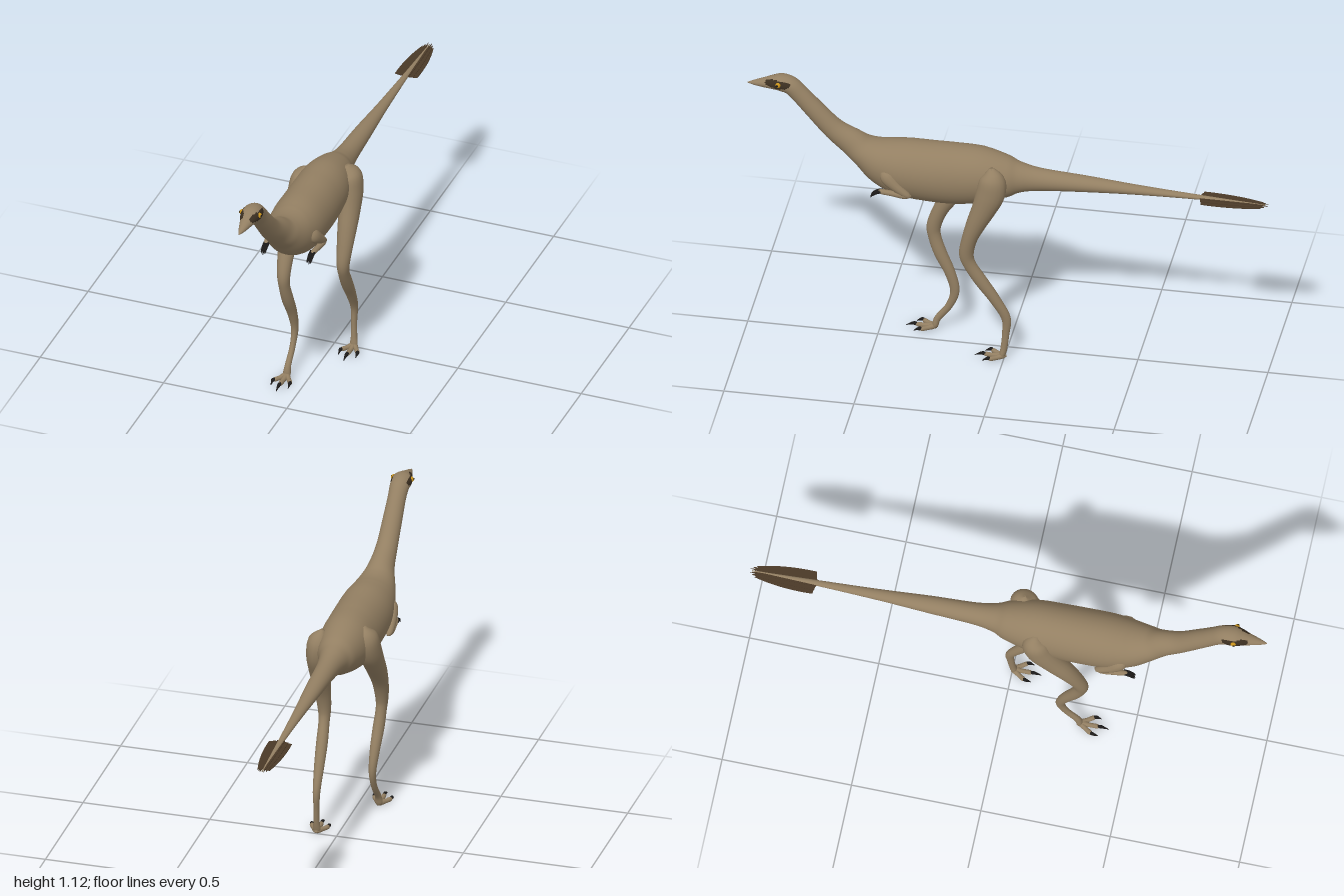
import * as THREE from 'three';

const mat = (name, color) => {
  const m = new THREE.MeshStandardMaterial({ color });
  m.name = name;
  return m;
};

// Smooth closed skin through elliptical sections [x, y, z, halfWidth, halfHeight].
// Faces chosen by paint(centre) go to a second material group.
function loft(sections, steps, sides, paint = () => false) {
  const path = new THREE.CatmullRomCurve3(sections.map(s => new THREE.Vector3(s[0], s[1], s[2])), false, 'catmullrom', 0.5);
  const size = new THREE.CatmullRomCurve3(sections.map(s => new THREE.Vector3(s[3], s[4], 0)), false, 'catmullrom', 0.5);
  const pts = [], plain = [], painted = [];
  const side = new THREE.Vector3(), up = new THREE.Vector3();
  for (let i = 0; i <= steps; i++) {
    const p = path.getPoint(i / steps), t = path.getTangent(i / steps), r = size.getPoint(i / steps);
    side.set(1, 0, 0).addScaledVector(t, -t.x).normalize();
    up.crossVectors(t, side);
    for (let j = 0; j < sides; j++) {
      const a = (j / sides) * Math.PI * 2;
      pts.push(p.clone()
        .addScaledVector(side, Math.cos(a) * Math.max(r.x, 0.0008))
        .addScaledVector(up, Math.sin(a) * Math.max(r.y, 0.0008)));
    }
  }
  const centre = new THREE.Vector3();
  for (let i = 0; i < steps; i++) {
    for (let j = 0; j < sides; j++) {
      const a = i * sides + j, b = i * sides + (j + 1) % sides, c = a + sides, d = b + sides;
      centre.copy(pts[a]).add(pts[d]).multiplyScalar(0.5);
      (paint(centre) ? painted : plain).push(a, b, c, b, d, c);
    }
  }
  // end caps
  const last = steps * sides;
  for (let j = 1; j < sides - 1; j++) plain.push(0, j + 1, j, last, last + j, last + j + 1);
  const g = new THREE.BufferGeometry().setFromPoints(pts);
  g.setIndex([...plain, ...painted]);
  g.addGroup(0, plain.length, 0);
  if (painted.length) g.addGroup(plain.length, painted.length, 1);
  g.computeVertexNormals();
  return g;
}

export function createModel() {
  const skin = mat('skin', 0x937f62);
  const feather = mat('darkFeather', 0x4a3927);
  const claw = mat('claw', 0x1c1a19);
  const eyeColour = mat('eyeAmber', 0xc8921c);
  const mask = mat('eyePatch', 0x3a2e20);

  const model = new THREE.Group();
  model.name = 'longNeckedDinosaur';
  const add = (name, geometry, material, parent = model) => {
    const m = new THREE.Mesh(geometry, material);
    m.name = name;
    parent.add(m);
    return m;
  };

  // Tail, trunk, neck and head as one skin: z, y, half height, half width
  const spine = [
    [-0.99, 0.75, 0.002, 0.002], [-0.75, 0.757, 0.008, 0.011], [-0.5, 0.763, 0.018, 0.022],
    [-0.3, 0.767, 0.031, 0.034], [-0.13, 0.767, 0.044, 0.042], [-0.05, 0.768, 0.06, 0.055],
    [0, 0.767, 0.083, 0.075], [0.1, 0.765, 0.112, 0.097], [0.2, 0.758, 0.122, 0.103],
    [0.3, 0.758, 0.121, 0.105], [0.4, 0.765, 0.115, 0.103], [0.48, 0.785, 0.094, 0.09],
    [0.55, 0.82, 0.062, 0.068], [0.6, 0.855, 0.053, 0.05], [0.67, 0.905, 0.042, 0.041],
    [0.75, 0.99, 0.037, 0.037], [0.8, 1.045, 0.035, 0.035], [0.835, 1.078, 0.034, 0.037],
    [0.87, 1.088, 0.032, 0.04], [0.9, 1.086, 0.026, 0.034], [0.93, 1.081, 0.02, 0.024],
    [0.97, 1.076, 0.011, 0.013], [1, 1.073, 0.002, 0.002],
  ];
  const aroundEye = p => Math.abs(p.x) > 0.012 &&
    ((p.z - 0.88) / 0.05) ** 2 + ((p.y - 1.094) / 0.015) ** 2 < 1;
  add('body', loft(spine.map(([z, y, h, w]) => [0, y, z, w, h]), 176, 36, aroundEye), [skin, mask]);

  // Tail fan: overlapping flat vanes on each side of the tail
  const fan = new THREE.Group();
  fan.name = 'tailFan';
  model.add(fan);
  for (const s of [1, -1]) {
    for (let k = 0; k < 3; k++) {
      const w = 0.015 * (k + 1), tip = 0.26 - 0.012 * k;
      const vane = new THREE.Shape();
      vane.moveTo(0, 0);
      vane.lineTo(s * w, 0.004 * k);
      vane.quadraticCurveTo(s * w * 1.1, 0.13, s * w * 0.5, tip);
      vane.lineTo(s * 0.003, tip - 0.03);
      const g = new THREE.ExtrudeGeometry(vane, { depth: 0.003, bevelEnabled: false, curveSegments: 8 });
      const m = add('tailFeather', g, feather, fan);
      m.rotation.x = -Math.PI / 2 - 0.03;
      m.position.set(0, 0.757 - 0.002 * k, -0.74);
    }
  }

  // Legs in mid stride: x, y, half width, half depth, then z for each leg
  const legProfile = [
    [0.07, 0.84, 0.008, 0.01, 0.05, 0.12], [0.08, 0.8, 0.042, 0.048, 0.045, 0.12],
    [0.088, 0.74, 0.044, 0.056, 0.05, 0.14], [0.091, 0.67, 0.041, 0.047, 0.075, 0.185],
    [0.092, 0.6, 0.037, 0.038, 0.105, 0.235], [0.092, 0.53, 0.031, 0.03, 0.13, 0.275],
    [0.09, 0.46, 0.025, 0.028, 0.143, 0.3], [0.088, 0.41, 0.021, 0.025, 0.13, 0.298],
    [0.084, 0.34, 0.022, 0.025, 0.088, 0.275], [0.08, 0.26, 0.019, 0.021, 0.035, 0.238],
    [0.077, 0.18, 0.014, 0.018, -0.007, 0.218], [0.077, 0.11, 0.011, 0.014, -0.006, 0.24],
    [0.079, 0.05, 0.012, 0.013, 0, 0.283], [0.08, 0.018, 0.015, 0.012, 0.006, 0.293],
    [0.08, 0.005, 0.009, 0.008, 0.008, 0.295],
  ];
  for (const s of [1, -1]) {
    const name = s > 0 ? 'left' : 'right';
    const leg = new THREE.Group();
    leg.name = name + 'Leg';
    model.add(leg);
    add(name + 'Limb', loft(legProfile.map(p => [s * p[0], p[1], s > 0 ? p[4] : p[5], p[2], p[3]]), 70, 18), skin, leg);

    // Three spread toes with claws
    const z0 = s > 0 ? 0 : 0.293, x0 = s * 0.08;
    for (const spread of [-1, 0, 1]) {
      const reach = spread ? 0.052 : 0.075;
      const at = f => [x0 + spread * 0.034 * Math.min(f, 1.02), z0 + reach * f];
      const ring = (f, y, r) => [at(f)[0], y, at(f)[1], r, r];
      add('toe', loft([ring(-0.12, 0.011, 0.004), ring(0.1, 0.012, 0.011), ring(0.55, 0.01, 0.009),
        ring(0.9, 0.011, 0.009), ring(1.05, 0.01, 0.004)], 14, 10), skin, leg);
      add('toeClaw', loft([ring(0.92, 0.013, 0.006), ring(1.1, 0.014, 0.007),
        ring(1.3, 0.01, 0.004), ring(1.5, 0.003, 0.001)], 8, 8), claw, leg);
    }

    // Small folded arm held against the chest
    const arm = new THREE.Group();
    arm.name = name + 'Arm';
    model.add(arm);
    add('upperArm', loft([[s * 0.078, 0.79, 0.47, 0.008, 0.008], [s * 0.09, 0.765, 0.45, 0.019, 0.026],
      [s * 0.097, 0.73, 0.41, 0.018, 0.02], [s * 0.098, 0.7, 0.37, 0.014, 0.013],
      [s * 0.095, 0.693, 0.355, 0.004, 0.004]], 20, 12), skin, arm);
    add('forearm', loft([[s * 0.096, 0.695, 0.355, 0.005, 0.005], [s * 0.1, 0.698, 0.38, 0.013, 0.013],
      [s * 0.1, 0.703, 0.43, 0.011, 0.011], [s * 0.095, 0.703, 0.47, 0.01, 0.01],
      [s * 0.094, 0.7, 0.482, 0.004, 0.004]], 20, 12), skin, arm);
    for (const k of [-1, 0, 1]) {
      const x = s * (0.093 + k * 0.007);
      add('handClaw', loft([[x, 0.704, 0.465, 0.005, 0.006], [x, 0.7, 0.485, 0.005, 0.007],
        [x, 0.687, 0.503, 0.004, 0.005], [x, 0.672 + Math.abs(k) * 0.006, 0.51, 0.001, 0.001]], 8, 8), claw, arm);
    }

    // Eye with pupil
    const eye = add(name + 'Eye', new THREE.SphereGeometry(0.011, 16, 12), eyeColour);
    eye.position.set(s * 0.034, 1.094, 0.877);
    const pupil = add(name + 'Pupil', new THREE.SphereGeometry(0.005, 12, 8), claw);
    pupil.scale.x = 0.5;
    pupil.position.set(s * 0.0435, 1.095, 0.88);
  }
  return model;
}
